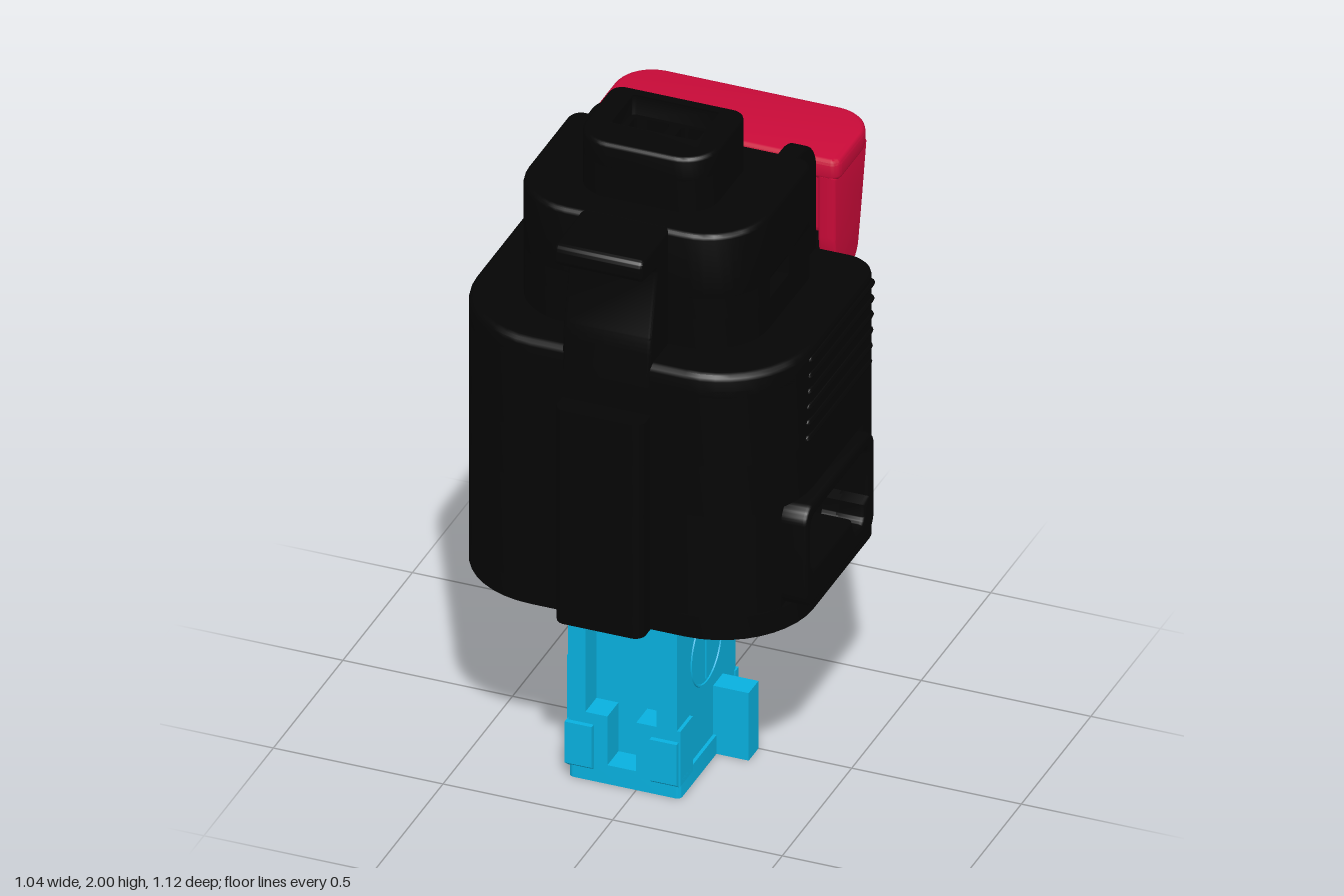
import * as THREE from 'three';
import { toCreasedNormals } from 'three/addons/utils/BufferGeometryUtils.js';

const mat = (color) => new THREE.MeshStandardMaterial({ color, side: THREE.DoubleSide });

export function createModel() {
  const model = new THREE.Group();
  const black = mat(0x050505), red = mat(0xc80a38), blue = mat(0x08b0de);

  const add = (name, geo, material) => {
    const mesh = new THREE.Mesh(toCreasedNormals(geo, 0.6), material);
    mesh.name = name;
    model.add(mesh);
  };

  // Closed path through [a, b, cornerRadius] points
  const trace = (pts, PathType = THREE.Shape) => {
    const path = new PathType(), n = pts.length;
    const v = pts.map(([a, b]) => new THREE.Vector2(a, b));
    v.forEach((p, i) => {
      const r = pts[i][2] || 0;
      const towards = (q, d) => p.clone().add(q.clone().sub(p).setLength(d));
      const prev = v[(i + n - 1) % n], next = v[(i + 1) % n];
      const s = r ? towards(prev, r) : p, e = r ? towards(next, r) : p;
      if (i) path.lineTo(s.x, s.y); else path.moveTo(s.x, s.y);
      if (r) {
        const c1 = towards(prev, r * 0.45), c2 = towards(next, r * 0.45);
        path.bezierCurveTo(c1.x, c1.y, c2.x, c2.y, e.x, e.y);
      }
    });
    path.closePath();
    return path;
  };

  const extrude = (pts, depth, bevel = 0, holes = []) => {
    const shape = trace(pts);
    shape.holes = holes.map((h) => trace(h, THREE.Path));
    const geo = new THREE.ExtrudeGeometry(shape, {
      depth: depth - 2 * bevel, bevelEnabled: bevel > 0, bevelThickness: bevel,
      bevelSize: bevel, bevelOffset: -bevel, bevelSegments: 3, curveSegments: 10,
    });
    return geo.translate(0, 0, bevel);
  };
  const flip = (pts) => pts.map(([x, z, r]) => [x, -z, r]);

  // Footprint in (x, z) raised from y0 to y1
  const slab = (name, m, pts, y0, y1, bevel = 0, holes = []) =>
    add(name, extrude(flip(pts), y1 - y0, bevel, holes.map(flip)).rotateX(-Math.PI / 2).translate(0, y0, 0), m);
  // Profile in (z, y) spanning x0 to x1
  const side = (name, m, pts, x0, x1, bevel = 0, holes = []) =>
    add(name, extrude(pts, x1 - x0, bevel, holes).rotateY(-Math.PI / 2).translate(x1, 0, 0), m);
  const box = (name, m, x0, x1, y0, y1, z0, z1) =>
    add(name, new THREE.BoxGeometry(x1 - x0, y1 - y0, z1 - z0)
      .translate((x0 + x1) / 2, (y0 + y1) / 2, (z0 + z1) / 2), m);
  const rect = (a0, a1, b0, b1, r = 0) => [[a0, b0, r], [a1, b0, r], [a1, b1, r], [a0, b1, r]];

  // Outer and inner outline of the hollow housing
  const backR = [[0.48, -0.265, 0.09], [0.29, -0.265, 0.02], [0.29, -0.51, 0.05]];
  const backL = [[-0.33, -0.51, 0.05], [-0.33, -0.265, 0.02], [-0.515, -0.265, 0.09]];
  const frontL = [[-0.515, 0.495, 0.27], [-0.15, 0.495]];
  const tab = [[-0.15, 0.56, 0.03], [0.11, 0.56, 0.03]];
  const frontR = [[0.11, 0.495], [0.48, 0.495, 0.27]];
  const inR = [[0.43, -0.215, 0.05], [0.24, -0.215], [0.24, -0.46, 0.02]];
  const inL = [[-0.28, -0.46, 0.02], [-0.28, -0.215], [-0.47, -0.215, 0.05]];
  const inF = [[-0.47, 0.44, 0.22], [0.43, 0.44, 0.22]];
  const outer = [...backR, ...backL, ...frontL, ...tab, ...frontR];
  const inner = [...inR, ...inL, ...inF];

  // Housing walls in layers: skirt, window band, mid band, top band open at the back
  slab('housingSkirt', black, outer, 0.63, 0.7, 0, [inner]);
  slab('housingWindowBand', black, [
    [0.48, -0.13], ...backR, ...backL, ...frontL, ...tab,
    [0.11, 0.495], [0.23, 0.495, 0.06], [0.4, 0.42, 0.05], [0.44, 0.36], [0.39, 0.36],
    [0.36, 0.4], [0.22, 0.44], [-0.47, 0.44, 0.22], ...[...inR, ...inL].reverse(), [0.43, -0.13],
  ], 0.7, 1.02);
  slab('housingMidBand', black, outer, 1.02, 1.18, 0, [inner]);
  slab('housingTopBand', black, [
    [-0.24, -0.51], ...backL, ...frontL, ...frontR, ...backR, [0.2, -0.51], [0.2, -0.46],
    ...[...inL, ...inF, ...inR].reverse(), [-0.24, -0.46],
  ], 1.18, 1.42);
  slab('frontTabTop', black, [[-0.15, 0.48], ...tab, [0.11, 0.48]], 1.18, 1.31);
  slab('housingRoof', black, [
    [0.48, -0.265, 0.09], [0.24, -0.265], [0.24, -0.2], [-0.28, -0.2], [-0.28, -0.265],
    [-0.515, -0.265, 0.09], [-0.515, 0.495, 0.27], [0.48, 0.495, 0.27],
  ], 1.38, 1.47, 0.02);

  // Back wall with a rounded notch between two horns
  add('backWall', extrude([
    [-0.29, 1.18], [0.25, 1.18], [0.25, 1.46, 0.03], [0.235, 1.5, 0.02], [0.18, 1.5, 0.03],
    [0.16, 1.22, 0.12], [-0.2, 1.22, 0.12], [-0.22, 1.5, 0.03], [-0.275, 1.5, 0.02], [-0.29, 1.46, 0.03],
  ], 0.05).translate(0, 0, -0.51), black);

  // Side window: wall panel and raised rounded frame sharing one opening
  const opening = [
    [-0.09, 0.98, 0.03], [0.325, 0.98, 0.03], [0.325, 0.81, 0.03], [0.03, 0.81],
    [0.01, 0.755, 0.02], [-0.055, 0.755, 0.02], [-0.055, 0.81], [-0.09, 0.82],
  ];
  side('windowPanel', black, rect(-0.13, 0.36, 0.7, 1.02), 0.39, 0.44, 0, [opening]);
  side('windowFrame', black, rect(-0.13, 0.36, 0.7, 1.02, 0.05), 0.42, 0.515, 0.012, [opening]);

  // Grip ribs on both sides
  for (const x of [-0.508, 0.473]) {
    for (let i = 0; i < 6; i++) {
      add('gripRib', new THREE.CapsuleGeometry(0.013, 0.44, 3, 8)
        .rotateX(Math.PI / 2).translate(x, 1.19 + i * 0.048, 0.04 - i * 0.004), black);
    }
  }

  // Upper housing with a small opening from side to side
  const upper = [[0.335, -0.13, 0.04], [-0.375, -0.13, 0.04], [-0.375, 0.37, 0.18], [0.335, 0.37, 0.18]];
  slab('upperHousingBase', black, upper, 1.45, 1.565);
  slab('upperHousingRear', black, [...upper.slice(0, 2), [-0.375, 0.05], [0.335, 0.05]], 1.565, 1.63);
  slab('upperHousingFront', black, [[0.335, 0.185], [-0.375, 0.185], ...upper.slice(2)], 1.565, 1.63);
  slab('upperHousingTop', black, upper, 1.615, 1.83, 0.015);
  box('innerCore', blue, -0.25, 0.21, 1.56, 1.62, 0.05, 0.155);

  // Rounded arms at the rear of the upper housing
  for (const x of [-0.33, 0.23]) {
    side('rearArm', black, [[-0.1, 1.4], [-0.1, 1.83], [-0.265, 1.83, 0.11], [-0.265, 1.4]], x, x + 0.06, 0.01);
  }
  box('rearLedge', black, -0.28, 0.24, 1.4, 1.72, -0.195, -0.12);

  // Front latch ridge with overhanging lip
  side('frontLatch', black, [
    [0.3, 1.4], [0.5, 1.4], [0.495, 1.53, 0.03], [0.445, 1.75, 0.02],
    [0.56, 1.765, 0.02], [0.56, 1.83, 0.02], [0.3, 1.83],
  ], -0.15, 0.11, 0.01);

  // Wire entry on top: rim around a recess with two pockets and seals
  const entry = [[-0.215, -0.035, 0.04], [0.18, -0.035, 0.04], [0.18, 0.27, 0.1], [-0.215, 0.27, 0.1]];
  const pockets = [-0.138, 0];
  slab('wireEntryBase', black, entry, 1.82, 1.93, 0, pockets.map((x) => rect(x, x + 0.105, 0, 0.155, 0.015)));
  slab('wireEntryRim', black, entry, 1.915, 2, 0.012, [rect(-0.155, 0.122, -0.012, 0.172, 0.02)]);
  for (const x of pockets) {
    slab('wireSeal', red, rect(x, x + 0.105, 0.03, 0.155, 0.02), 1.83, 1.87);
    add('sealRing', new THREE.TorusGeometry(0.034, 0.014, 8, 24)
      .rotateX(Math.PI / 2).translate(x + 0.052, 1.875, 0.1), red);
  }

  // Locking slider: cap, wrap-round cheeks, underside band and centre strip
  slab('sliderCap', red, [
    [-0.385, -0.28, 0.03], [0.345, -0.28, 0.03], [0.345, -0.565, 0.11], [-0.385, -0.565, 0.11],
  ], 1.67, 1.735, 0.015);
  for (const s of [-1, 1]) {
    const span = (a, b) => [Math.min(s * a, s * b) - 0.02, Math.max(s * a, s * b) - 0.02];
    side('sliderCheek', red, [
      [-0.28, 1.68], [-0.28, 1.43, 0.06], [-0.33, 1.34, 0.04], [-0.445, 1.34, 0.05], [-0.48, 1.5, 0.05], [-0.515, 1.68],
    ], ...span(0.305, 0.355), 0.008);
    side('sliderCheekBack', red, [
      [-0.4, 1.68], [-0.4, 1.42, 0.02], [-0.453, 1.42, 0.02], [-0.512, 1.68],
    ], ...span(0.23, 0.345), 0.008);
    side('sliderBand', red, [[-0.4, 1.68], [-0.4, 1.59], [-0.47, 1.59], [-0.5, 1.68]], ...span(0.06, 0.24));
  }
  side('sliderStrip', red, [
    [-0.23, 1.5], [-0.23, 0.58], [-0.28, 0.57], [-0.285, 0.52], [-0.32, 0.52], [-0.32, 0.63], [-0.28, 0.66], [-0.28, 1.5],
  ], -0.09, 0.05);

  // Flexible latch behind the insert
  for (const x of [-0.26, 0.1]) box('latchPost', blue, x, x + 0.12, 0.72, 1.66, -0.275, -0.2);
  box('latchPlate', blue, -0.26, 0.22, 0.8, 1.66, -0.22, -0.2);
  box('latchBridge', blue, -0.26, 0.22, 1.56, 1.67, -0.275, -0.2);
  box('latchNose', blue, -0.12, 0.08, 1.51, 1.6, -0.34, -0.22);
  box('latchBase', blue, -0.26, 0.22, 0.7, 0.8, -0.27, -0.08);

  // Lower insert: channelled column with pocketed foot
  const column = [
    [0.12, -0.09], [0.12, 0.33], [0.06, 0.33], [0.06, 0.25], [-0.15, 0.25], [-0.15, 0.33],
    [-0.2, 0.33], [-0.2, 0.2], [-0.255, 0.2], [-0.255, -0.09],
  ];
  slab('insertColumn', blue, column, 0.06, 1.38);
  slab('insertFoot', blue, rect(-0.2, 0.13, -0.09, 0.33, 0.015), 0, 0.06, 0,
    [-0.16, 0.0].map((x) => rect(x, x + 0.09, 0.02, 0.13)));
  box('insertCollar', blue, -0.31, 0.135, 0.54, 1.38, -0.09, 0.325);
  box('keyLeft', blue, 0.11, 0.225, 0, 0.215, 0, 0.07);
  box('keyRight', blue, -0.31, -0.2, 0, 0.215, 0, 0.07);
  for (const [x0, x1, c] of [[-0.2, -0.085, -0.165], [0, 0.13, 0.085]]) {
    box('footBlock', blue, x0, x1, 0.04, 0.215, 0.24, 0.33);
    for (const [z, d] of [[0.32, 0.025], [-0.08, -0.022]]) {
      side('footBump', blue, [[z, 0.03], [z + d, 0.05], [z + d, 0.18], [z, 0.18]], c - 0.04, c + 0.04);
    }
  }

  // Dial mark on the side of the insert
  add('dialRing', new THREE.TorusGeometry(0.108, 0.004, 6, 40).rotateY(Math.PI / 2).translate(0.12, 0.365, 0.12), blue);
  box('dialPointer', blue, 0.118, 0.125, 0.27, 0.46, 0.112, 0.128);

  // Terminal lock behind the side window
  side('lockBar', red, rect(-0.09, 0.325, 0.86, 0.98, 0.02), 0.12, 0.26, 0.01);
  box('lockBarRidge', red, 0.25, 0.275, 0.9, 0.935, -0.09, 0.325);
  side('lockSkirt', red, rect(0.05, 0.32, 0.645, 0.8, 0.03), 0.13, 0.22, 0.01);
  box('lockLeg', red, 0.11, 0.138, 0.57, 0.72, -0.04, 0);
  side('lockSupport', blue, rect(-0.09, 0.325, 0.79, 0.86, 0.02), 0.12, 0.24);
  box('lockCatch', blue, 0.12, 0.2, 0.74, 0.82, -0.06, 0.02);

  return model;
}
